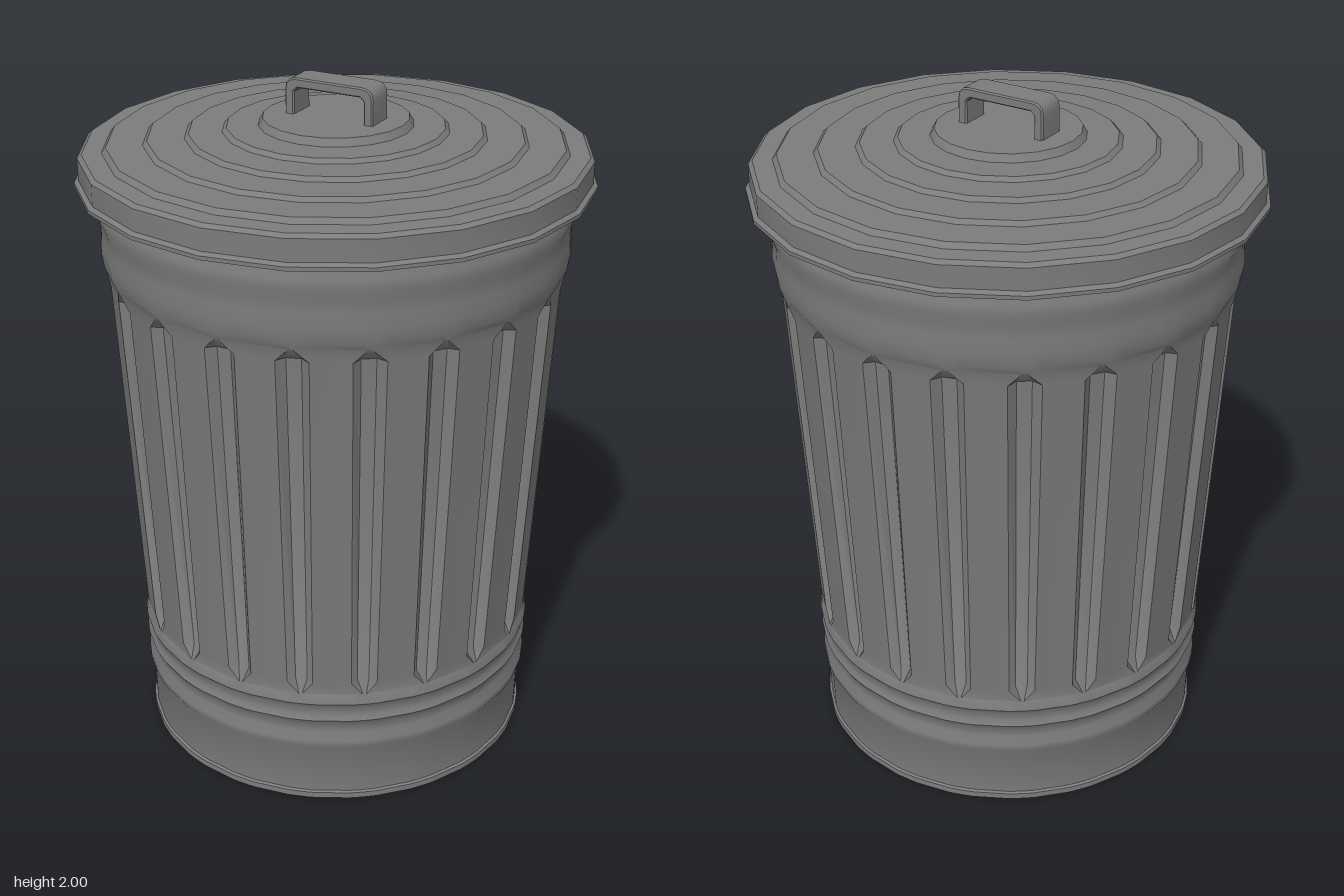
import * as THREE from 'three';
import { toCreasedNormals } from 'three/addons/utils/BufferGeometryUtils.js';

const SIDES = 20;

// Body wall: rows of [y, radius, groove depth, groove width factor]
function bodyGeometry() {
  const rows = [
    [0, 0, 0, 1], [0, 0.58, 0, 1], [0.018, 0.58, 0, 1], [0.022, 0.573, 0, 1],
    [0.17, 0.577, 0, 1], [0.19, 0.588, 0, 1], [0.21, 0.588, 0, 1], [0.235, 0.577, 0, 1],
    [0.262, 0.579, 0, 1], [0.282, 0.59, 0, 1], [0.298, 0.582, 0, 1], [0.325, 0.584, 0, 1],
    [0.34, 0.592, 0, 1], [0.36, 0.588, 0, 1], [0.37, 0.586, 0, 0.15], [0.41, 0.588, 0.025, 0.9],
    [1.44, 0.646, 0.025, 1], [1.48, 0.656, 0, 0.15], [1.5, 0.661, 0, 1], [1.54, 0.667, 0, 1],
    [1.58, 0.664, 0, 1], [1.62, 0.664, 0, 1], [1.65, 0.673, 0, 1], [1.68, 0.671, 0, 1],
    [1.71, 0.658, 0, 1], [1.79, 0.658, 0, 1],
  ];
  const offsets = [-4, -1.9, 1.9, 4]; // degrees across one groove
  const n = SIDES * offsets.length;
  const pos = [], index = [];
  for (const [y, r, depth, width] of rows) {
    for (let k = 0; k < SIDES; k++) {
      offsets.forEach((o, i) => {
        const a = THREE.MathUtils.degToRad(k * 360 / SIDES + o * width);
        const rr = r - (i === 1 || i === 2 ? depth : 0);
        pos.push(rr * Math.sin(a), y, rr * Math.cos(a));
      });
    }
  }
  for (let j = 0; j < rows.length - 1; j++) {
    for (let i = 0; i < n; i++) {
      const a = j * n + i, b = j * n + (i + 1) % n;
      if (j > 0) index.push(a, b, a + n);
      index.push(b, b + n, a + n);
    }
  }
  const g = new THREE.BufferGeometry();
  g.setAttribute('position', new THREE.Float32BufferAttribute(pos, 3));
  g.setIndex(index);
  return toCreasedNormals(g, 0.6);
}

// Lid: turned profile with a hollow rim and stepped rings
function lidGeometry() {
  const pts = [
    [0.6, 1.785], [0.7, 1.785], [0.705, 1.735], [0.715, 1.722],
    [0.729, 1.724], [0.729, 1.735], [0.717, 1.743], [0.717, 1.805], [0.705, 1.815],
  ];
  const rings = [[0.65, 1.832], [0.537, 1.846], [0.422, 1.86], [0.317, 1.874], [0.217, 1.897]];
  let y = 1.815;
  for (const [r, top] of rings) {
    pts.push([r, y + 0.002], [r - 0.012, top]);
    y = top;
  }
  pts.push([0, y]);
  const g = new THREE.LatheGeometry(pts.map(p => new THREE.Vector2(...p)), SIDES);
  g.deleteAttribute('uv');
  g.deleteAttribute('normal');
  return toCreasedNormals(g, 0.45);
}

// Handle: bent flat strap
function handleGeometry() {
  const s = new THREE.Shape();
  const w = 0.132, t = 0.02, low = 1.885, top = 1.996, c = 0.03;
  s.moveTo(-w, low);
  s.lineTo(-w + t, low);
  s.lineTo(-w + t, top - t - 0.014);
  s.lineTo(-w + t + 0.014, top - t);
  s.lineTo(w - t - 0.014, top - t);
  s.lineTo(w - t, top - t - 0.014);
  s.lineTo(w - t, low);
  s.lineTo(w, low);
  s.lineTo(w, top - c);
  s.quadraticCurveTo(w, top, w - c, top);
  s.lineTo(-w + c, top);
  s.quadraticCurveTo(-w, top, -w, top - c);
  const g = new THREE.ExtrudeGeometry(s, {
    depth: 0.084, curveSegments: 3,
    bevelEnabled: true, bevelThickness: 0.005, bevelSize: 0.004, bevelSegments: 1,
  });
  g.translate(0, 0, -0.042);
  return toCreasedNormals(g, 0.6);
}

export function createModel() {
  const metal = new THREE.MeshStandardMaterial({ color: 0x7c7c7c });
  metal.name = 'galvanised grey';
  const group = new THREE.Group();
  group.name = 'trashCan';
  const parts = { body: bodyGeometry(), lid: lidGeometry(), lidHandle: handleGeometry() };
  for (const [name, geometry] of Object.entries(parts)) {
    const mesh = new THREE.Mesh(geometry, metal);
    mesh.name = name;
    group.add(mesh);
  }
  return group;
}
